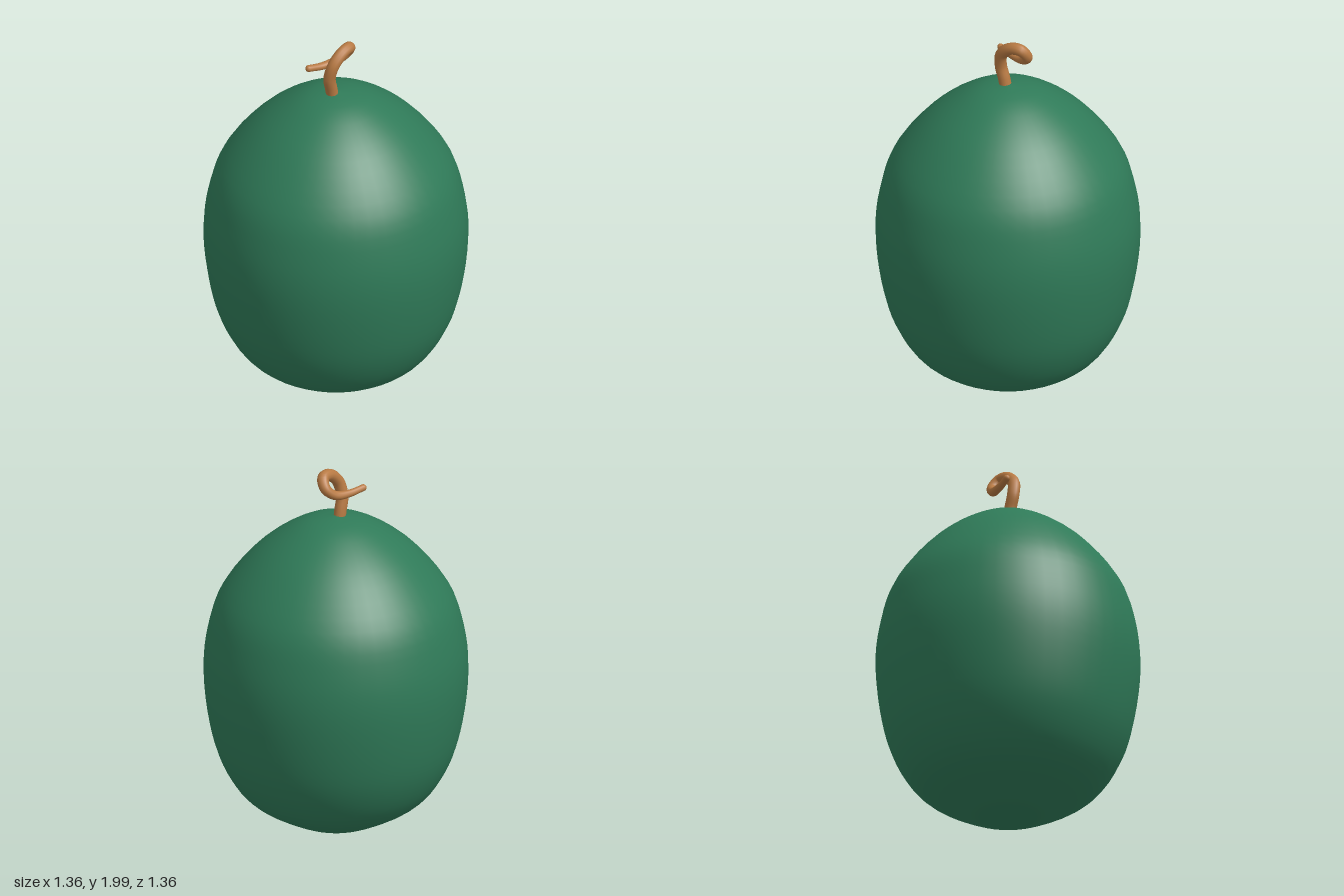
import * as THREE from 'three';

const green = new THREE.MeshStandardMaterial({ color: 0x2f7a58 });
green.name = 'rind green';
const brown = new THREE.MeshStandardMaterial({ color: 0xb87a43 });
brown.name = 'stem brown';

// Smooth rind turned from a profile, flatter at the base than at the crown
function makeFruit() {
  const profile = new THREE.SplineCurve([
    [0, 0.008], [0.13, 0.02], [0.31, 0.1], [0.48, 0.215], [0.59, 0.39], [0.65, 0.6],
    [0.68, 0.87], [0.658, 1.1], [0.585, 1.317], [0.4, 1.545], [0.18, 1.695], [0, 1.735],
  ].map(([r, y]) => new THREE.Vector2(r, y))).getPoints(44);
  profile[0].x = profile[profile.length - 1].x = 0;
  const fruit = new THREE.Mesh(new THREE.LatheGeometry(profile, 48), green);
  fruit.name = 'fruit';
  return fruit;
}

// Curled stem: a tube thinned towards its tip, with a rounded end
function makeStem() {
  const path = new THREE.CatmullRomCurve3([
    [-0.015, 1.69, 0.005], [-0.025, 1.76, 0.015], [-0.034, 1.83, 0.03], [-0.012, 1.91, 0.03],
    [0.035, 1.962, -0.01], [0.07, 1.963, -0.055], [0.06, 1.917, -0.088],
    [0.01, 1.875, -0.076], [-0.065, 1.866, -0.035], [-0.14, 1.878, 0.008],
  ].map((p) => new THREE.Vector3(...p)));
  const segments = 64, sides = 12, radius = 0.032, tip = 0.018;
  const tube = new THREE.TubeGeometry(path, segments, radius, sides);
  const pos = tube.attributes.position;
  const v = new THREE.Vector3();
  for (let i = 0; i <= segments; i++) {
    const t = i / segments;
    const centre = path.getPointAt(t);
    const scale = THREE.MathUtils.lerp(1, tip / radius, THREE.MathUtils.smoothstep(t, 0.45, 1));
    for (let j = 0; j <= sides; j++) {
      const k = i * (sides + 1) + j;
      v.fromBufferAttribute(pos, k).sub(centre).multiplyScalar(scale).add(centre);
      pos.setXYZ(k, v.x, v.y, v.z);
    }
  }
  const stem = new THREE.Group();
  stem.name = 'stem';
  const curl = new THREE.Mesh(tube, brown);
  curl.name = 'stemCurl';
  const end = new THREE.Mesh(new THREE.SphereGeometry(tip, 12, 8), brown);
  end.name = 'stemTip';
  end.position.copy(path.getPointAt(1));
  stem.add(curl, end);
  return stem;
}

export function createModel() {
  const model = new THREE.Group();
  model.name = 'melon';
  model.add(makeFruit(), makeStem());
  return model;
}
